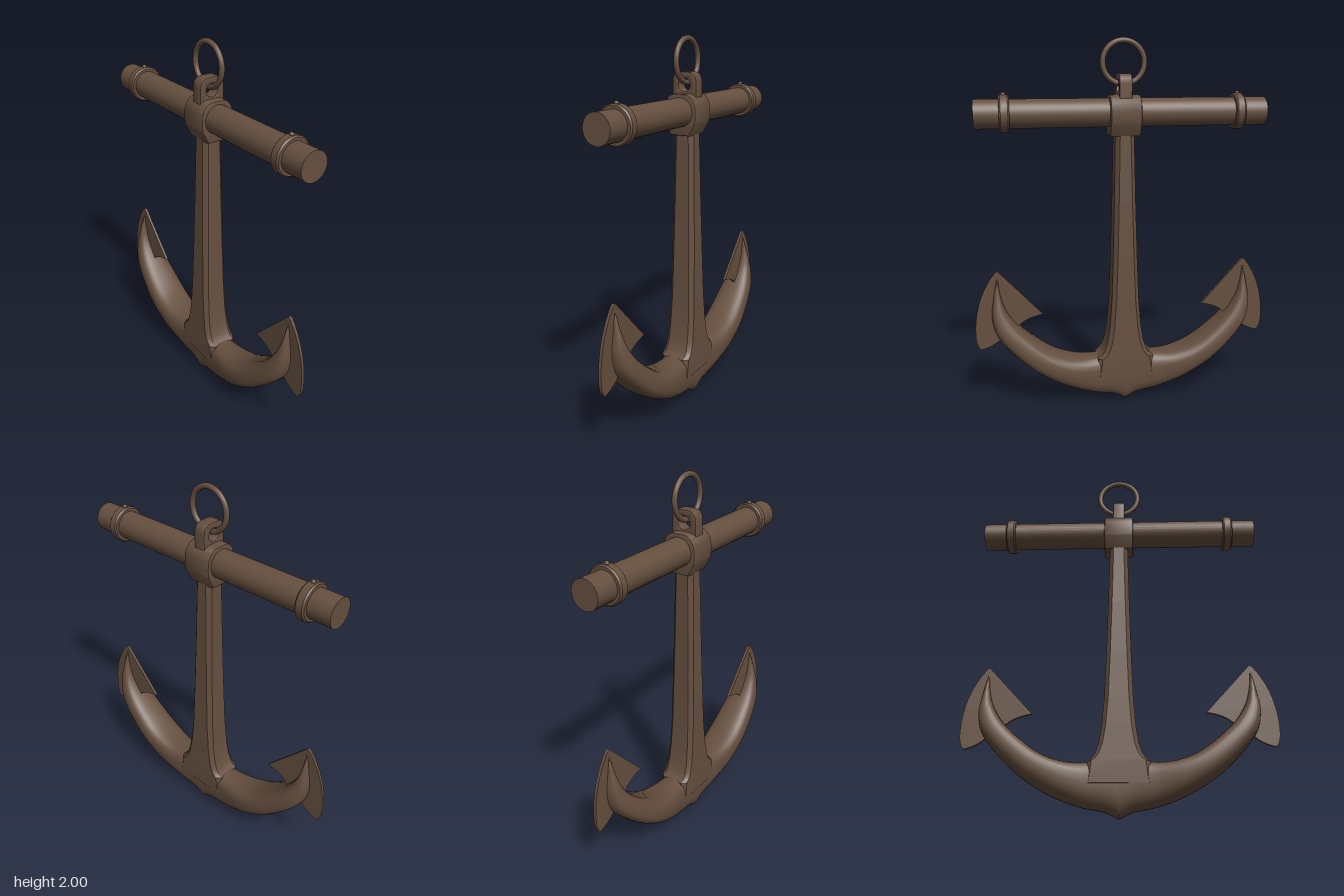
import * as THREE from 'three';
import { toCreasedNormals } from 'three/addons/utils/BufferGeometryUtils.js';

const iron = new THREE.MeshStandardMaterial({ color: 0x654f3f });
iron.name = 'brown iron';

// Skin over a list of closed rings, capped at both ends
function loft(rings, crease) {
  const n = rings[0].length, pos = [], idx = [];
  rings.forEach(r => r.forEach(p => pos.push(p.x, p.y, p.z)));
  for (let k = 0; k < rings.length - 1; k++) {
    for (let i = 0; i < n; i++) {
      const a = k * n + i, b = k * n + (i + 1) % n;
      idx.push(a, b, b + n, a, b + n, a + n);
    }
  }
  const last = (rings.length - 1) * n;
  for (let i = 1; i < n - 1; i++) {
    idx.push(0, i + 1, i);
    idx.push(last, last + i, last + i + 1);
  }
  const g = new THREE.BufferGeometry();
  g.setAttribute('position', new THREE.Float32BufferAttribute(pos, 3));
  g.setIndex(idx);
  return toCreasedNormals(g, crease);
}

// Shape drawn in the z-y plane, extruded along x and centred
function extrudeX(shape, width, bevel) {
  const g = new THREE.ExtrudeGeometry(shape, {
    depth: width - 2 * bevel, bevelEnabled: bevel > 0, bevelThickness: bevel,
    bevelSize: bevel, bevelOffset: -bevel, bevelSegments: 2, curveSegments: 10,
  });
  g.translate(0, 0, -(width - 2 * bevel) / 2);
  g.rotateY(Math.PI / 2);
  return toCreasedNormals(g, 0.6);
}

export function createModel() {
  const root = new THREE.Group();
  root.name = 'anchor';
  const add = (geo, name, parent = root) => {
    const m = new THREE.Mesh(geo, iron);
    m.name = name;
    parent.add(m);
    return m;
  };

  // Shank: chamfered bar, flaring into the crown [y, half x, half z]
  const shank = [
    [0.16, 0.17, 0.085], [0.27, 0.155, 0.085], [0.285, 0.135, 0.084], [0.31, 0.118, 0.083],
    [0.36, 0.101, 0.081], [0.45, 0.087, 0.078], [0.6, 0.075, 0.074], [0.85, 0.066, 0.069],
    [1.15, 0.058, 0.063], [1.53, 0.05, 0.056],
  ].map(([y, x, z]) => {
    const c = 0.022;
    return [[x, z - c], [x, c - z], [x - c, -z], [c - x, -z], [-x, c - z], [-x, z - c], [c - x, z], [x - c, z]]
      .map(([px, pz]) => new THREE.Vector3(px, y, pz));
  });
  add(loft(shank, 0.5), 'shank');

  // Arm: outer edge [x, y, half thickness] and inner edge, swept together
  const outer = new THREE.CatmullRomCurve3([
    [0, 0, 0.078], [0.07, 0.034, 0.08], [0.2, 0.062, 0.088], [0.36, 0.127, 0.105], [0.53, 0.24, 0.109],
    [0.685, 0.405, 0.092], [0.725, 0.53, 0.066], [0.713, 0.64, 0.038], [0.692, 0.76, 0.005],
  ].map(p => new THREE.Vector3(...p)), false, 'catmullrom');
  const inner = new THREE.CatmullRomCurve3([
    [0, 0.3], [0.08, 0.29], [0.17, 0.275], [0.28, 0.28], [0.41, 0.33],
    [0.56, 0.45], [0.64, 0.555], [0.675, 0.655], [0.688, 0.765],
  ].map(([x, y]) => new THREE.Vector3(x, y, 0)), false, 'catmullrom');
  const soft = v => Math.sign(v) * Math.pow(Math.abs(v), 0.72);
  const armRings = [];
  for (let k = 0; k <= 40; k++) {
    const o = outer.getPoint(k / 40), q = inner.getPoint(k / 40), ring = [];
    for (let i = 0; i < 28; i++) {
      const a = i / 28 * Math.PI * 2, s = (1 - soft(Math.cos(a))) / 2;
      ring.push(new THREE.Vector3(
        o.x + (q.x - o.x) * s, o.y + (q.y - o.y) * s, -o.z * soft(Math.sin(a))));
    }
    armRings.push(ring);
  }
  const armGeo = loft(armRings, 0.8);

  // Fluke: thin barbed blade in the plane of the anchor
  const blade = new THREE.Shape();
  blade.moveTo(0.685, 0.79);
  blade.lineTo(0.45, 0.535);
  blade.quadraticCurveTo(0.54, 0.52, 0.575, 0.485);
  blade.lineTo(0.685, 0.405);
  blade.quadraticCurveTo(0.72, 0.37, 0.785, 0.353);
  blade.quadraticCurveTo(0.808, 0.355, 0.815, 0.42);
  blade.bezierCurveTo(0.82, 0.55, 0.785, 0.68, 0.705, 0.78);
  blade.quadraticCurveTo(0.695, 0.792, 0.685, 0.79);
  const bladeGeo = new THREE.ExtrudeGeometry(blade, { depth: 0.016, bevelEnabled: false, curveSegments: 10 });
  bladeGeo.translate(0, 0, -0.008);

  // Stock band with softened rims, turned about x
  const bandGeo = toCreasedNormals(new THREE.LatheGeometry(
    [[0.07, -0.026], [0.09, -0.026], [0.097, -0.018], [0.097, 0.018], [0.09, 0.026], [0.07, 0.026]]
      .map(p => new THREE.Vector2(...p)), 24), 0.5);
  bandGeo.rotateZ(Math.PI / 2);

  // Both sides are the same, turned half a circle
  for (const [side, turn] of [['left', 0], ['right', Math.PI]]) {
    const half = new THREE.Group();
    half.name = side + 'Side';
    half.rotation.y = turn;
    root.add(half);
    add(armGeo, side + 'Arm', half);
    add(bladeGeo, side + 'Fluke', half);
    add(bandGeo, side + 'StockBand', half).position.set(0.62, 1.62, 0);
    add(new THREE.SphereGeometry(0.013, 12, 8), side + 'Rivet', half).position.set(0.62, 1.716, 0);
  }

  // Stock: round crossbar
  const stock = new THREE.CylinderGeometry(0.075, 0.075, 1.545, 32);
  stock.rotateZ(Math.PI / 2);
  add(stock, 'stock').position.y = 1.62;

  // Hub: collar where the stock passes the shank
  const hub = new THREE.Shape();
  hub.moveTo(-0.055, 1.5);
  hub.lineTo(0.055, 1.5);
  hub.lineTo(0.09, 1.565);
  hub.quadraticCurveTo(0.1, 1.62, 0.088, 1.665);
  hub.quadraticCurveTo(0.07, 1.71, 0.03, 1.712);
  hub.lineTo(-0.03, 1.712);
  hub.quadraticCurveTo(-0.07, 1.71, -0.088, 1.665);
  hub.quadraticCurveTo(-0.1, 1.62, -0.09, 1.565);
  hub.closePath();
  add(extrudeX(hub, 0.164, 0.01), 'hub');

  // Lug: arched eye that holds the ring
  const lug = new THREE.Shape();
  lug.moveTo(-0.07, 1.66);
  lug.lineTo(0.07, 1.66);
  lug.lineTo(0.07, 1.77);
  lug.quadraticCurveTo(0.068, 1.82, 0.02, 1.82);
  lug.lineTo(-0.02, 1.82);
  lug.quadraticCurveTo(-0.068, 1.82, -0.07, 1.77);
  lug.closePath();
  const eye = new THREE.Path();
  eye.absarc(0, 1.755, 0.034, 0, Math.PI * 2, true);
  lug.holes.push(eye);
  add(extrudeX(lug, 0.066, 0.005), 'ringLug');

  // Ring
  add(new THREE.TorusGeometry(0.11, 0.0145, 14, 48), 'ring').position.y = 1.876;

  return root;
}
